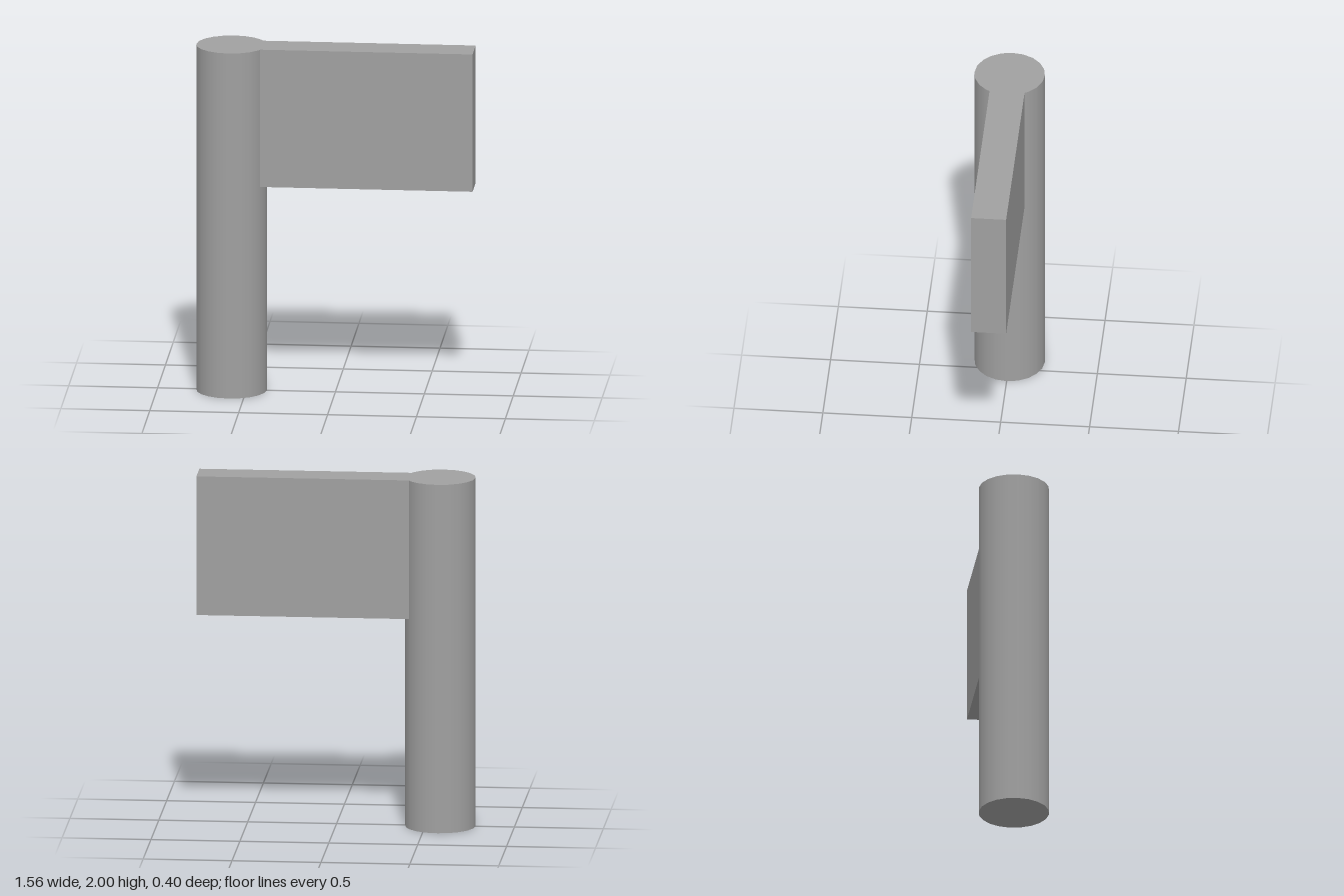
import * as THREE from 'three';

export function createModel() {
  const model = new THREE.Group();
  const grey = new THREE.MeshStandardMaterial({ color: 0xa0a0a0 });
  grey.name = 'grey';

  const height = 2, radius = 0.198, postX = -0.584;
  const panelHeight = 0.796, panelEnd = 0.78, panelDepth = 0.197;

  function addPart(name, geometry, x, y) {
    const mesh = new THREE.Mesh(geometry, grey);
    mesh.name = name;
    mesh.position.set(x, y, 0);
    model.add(mesh);
  }

  // Round upright post, smooth around its side
  addPart('post', new THREE.CylinderGeometry(radius, radius, height, 20), postX, height / 2);

  // Flat panel, its inner end buried in the post, flush with the top
  const panelStart = -0.46;
  addPart(
    'panel',
    new THREE.BoxGeometry(panelEnd - panelStart, panelHeight, panelDepth),
    (panelStart + panelEnd) / 2,
    height - panelHeight / 2
  );

  return model;
}
